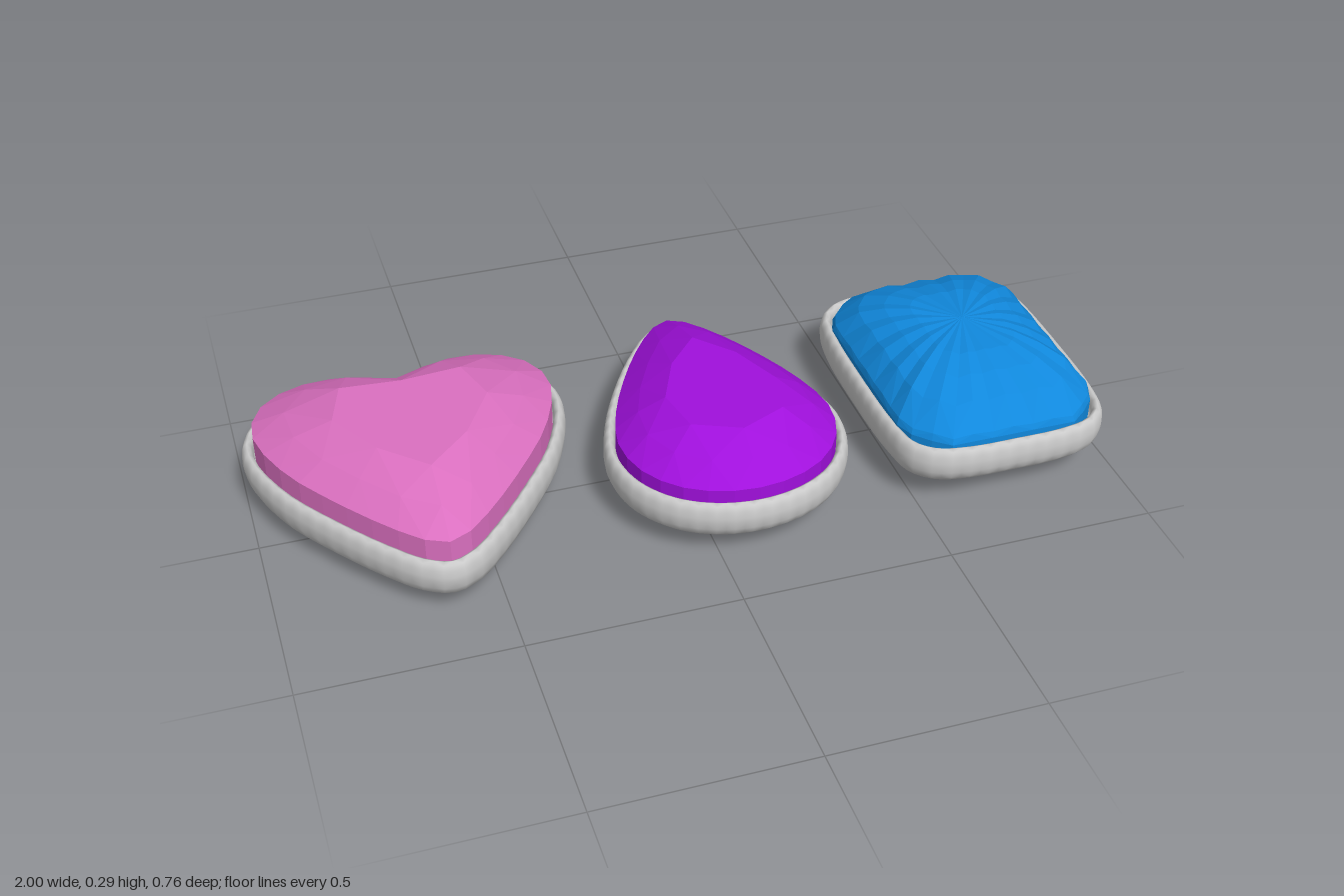
import * as THREE from 'three';

// Closed curve mirrored about x = 0 from half an outline given as [x, z], back to front
function mirroredCurve(half, straight = false) {
  const right = half.map(([x, z]) => new THREE.Vector3(x, 0, z));
  const left = right.filter((p) => p.x > 0).reverse().map((p) => new THREE.Vector3(-p.x, 0, p.z));
  if (!straight) return new THREE.CatmullRomCurve3([...right, ...left], true, 'centripetal');
  const path = new THREE.CurvePath();
  const all = [...right, ...left, right[0]];
  for (let i = 0; i < all.length - 1; i++) path.add(new THREE.LineCurve3(all[i], all[i + 1]));
  return path;
}

// Sample a curve at n points, pushed inwards by a distance
function outline(curve, n, inset = 0) {
  return Array.from({ length: n }, (_, i) => {
    const p = curve.getPointAt(i / n);
    if (inset) {
      const t = curve.getTangentAt(i / n);
      p.x -= t.z * inset;
      p.z += t.x * inset;
    }
    return p;
  });
}

// Scale an outline about (0, z0) and lift it to height y
const ring = (pts, s, y, z0 = 0) => pts.map((p) => new THREE.Vector3(p.x * s, y, z0 + (p.z - z0) * s));

// Skin a stack of rings; a ring may have the same count as the one below, half of it, or one point
function skin(rings) {
  const pos = [], index = [], start = [];
  for (const r of rings) {
    start.push(pos.length / 3);
    r.forEach((p) => pos.push(p.x, p.y, p.z));
  }
  for (let k = 0; k < rings.length - 1; k++) {
    const n = rings[k].length, m = rings[k + 1].length;
    const a = (i) => start[k] + (i % n), b = (i) => start[k + 1] + (i % m);
    if (n === 1) for (let i = 0; i < m; i++) index.push(a(0), b(i), b(i + 1));
    else if (m === 1) for (let i = 0; i < n; i++) index.push(a(i), b(0), a(i + 1));
    else if (m === n) {
      for (let i = 0; i < n; i++) {
        if (i % 2) index.push(a(i), b(i), b(i + 1), a(i), b(i + 1), a(i + 1));
        else index.push(a(i), b(i), a(i + 1), b(i), b(i + 1), a(i + 1));
      }
    } else {
      for (let i = 0; i < m; i++) {
        const j = 2 * i;
        index.push(a(j), b(i), a(j + 1), b(i), b(i + 1), a(j + 1), a(j + 1), b(i + 1), a(j + 2));
      }
    }
  }
  const g = new THREE.BufferGeometry();
  g.setAttribute('position', new THREE.Float32BufferAttribute(pos, 3));
  g.setIndex(index);
  g.computeVertexNormals();
  return g;
}

const point = (y, z = 0) => [new THREE.Vector3(0, y, z)];

// Smooth metal cup: underside [scale, y], then a rounded rim and an inner floor
function makeSetting(name, curve, under, top, z0) {
  const n = 96, base = outline(curve, n);
  const rim = [[0, -0.035], [0.002, -0.018], [0.007, -0.006], [0.015, 0], [0.023, -0.005], [0.028, -0.018], [0.03, -0.06]];
  const rings = [
    point(under[0][1], z0),
    ...under.slice(1).map(([s, y]) => ring(base, s, y, z0)),
    ...rim.map(([inset, dy]) => ring(outline(curve, n, inset), 1, top + dy)),
    point(top - 0.06, z0),
  ];
  const mesh = new THREE.Mesh(skin(rings), new THREE.MeshStandardMaterial({ color: 0xcccccc }));
  mesh.name = name;
  return mesh;
}

function makeGem(name, color, rings) {
  const mesh = new THREE.Mesh(skin(rings), new THREE.MeshStandardMaterial({ color, flatShading: true }));
  mesh.name = name;
  return mesh;
}

// Girdle, two rows of crown facets and a flat table
function tableCut(curve, bottom, girdle, mid, table, z0) {
  const edge = outline(curve, 32, 0.029);
  const half = edge.filter((_, i) => i % 2 === 0), quarter = edge.filter((_, i) => i % 4 === 0);
  return [
    ring(edge, 1, bottom), ring(edge, 1, girdle),
    ring(half, mid[0], mid[1], z0), ring(quarter, table[0], table[1], z0), point(table[1], z0),
  ];
}

// Low dome with folded facets radiating from its centre
function fanCut(curve) {
  const edge = outline(curve, 40);
  const profile = [[1, 0.11, 0], [1, 0.165, 0], [0.98, 0.182, 0.004], [0.8, 0.234, 0.008], [0.6, 0.262, 0.006], [0.4, 0.278, 0.004]];
  const rings = profile.map(([s, y, fold]) => {
    const r = ring(edge, s, y);
    r.forEach((p, i) => { if (i % 2) p.y -= fold; });
    return r;
  });
  return [...rings, point(0.286)];
}

export function createModel() {
  const model = new THREE.Group();
  const add = (name, x, z, ...parts) => {
    const g = new THREE.Group();
    g.name = name;
    g.position.set(x, 0, z);
    g.add(...parts);
    model.add(g);
  };

  // Heart
  const heart = mirroredCurve([
    [0, -0.325], [0.06, -0.352], [0.15, -0.373], [0.25, -0.36], [0.335, -0.305], [0.38, -0.215], [0.378, -0.13],
    [0.325, 0.01], [0.235, 0.145], [0.13, 0.275], [0.065, 0.338], [0, 0.365],
  ]);
  add('heartJewel', -0.615, 0,
    makeSetting('heartSetting', heart,
      [[0, 0], [0.3, 0.004], [0.6, 0.014], [0.82, 0.028], [0.91, 0.04], [0.965, 0.058], [0.99, 0.078], [1, 0.1]], 0.147, -0.06),
    makeGem('heartGem', 0xdb70c0, tableCut(heart, 0.09, 0.19, [0.79, 0.234], [0.53, 0.276], -0.02)));

  // Teardrop
  const drop = mirroredCurve([
    [0, -0.385], [0.055, -0.362], [0.125, -0.28], [0.2, -0.155], [0.26, -0.02], [0.287, 0.1],
    [0.265, 0.215], [0.2, 0.305], [0.11, 0.358], [0, 0.377],
  ]);
  add('teardropJewel', 0.088, 0,
    makeSetting('teardropSetting', drop,
      [[0, 0.018], [0.3, 0.021], [0.6, 0.03], [0.82, 0.044], [0.91, 0.055], [0.965, 0.072], [0.99, 0.09], [1, 0.11]], 0.157, 0.05),
    makeGem('teardropGem', 0xa010dc, tableCut(drop, 0.1, 0.18, [0.79, 0.225], [0.54, 0.263], 0.094)));

  // Rectangle with rounded corners
  const cushion = mirroredCurve([
    [0, -0.355], [0.12, -0.352], [0.2, -0.333], [0.25, -0.285], [0.268, -0.2], [0.274, 0],
    [0.268, 0.2], [0.25, 0.285], [0.2, 0.333], [0.12, 0.352], [0, 0.355],
  ]);
  const octagon = mirroredCurve([[0, -0.322], [0.165, -0.322], [0.247, -0.235], [0.247, 0.235], [0.165, 0.322], [0, 0.322]], true);
  add('rectangleJewel', 0.725, -0.004,
    makeSetting('rectangleSetting', cushion,
      [[0, 0.052], [0.5, 0.052], [0.8, 0.053], [0.88, 0.057], [0.94, 0.068], [0.98, 0.085], [0.995, 0.102], [1, 0.118]], 0.164, 0),
    makeGem('rectangleGem', 0x1088dc, fanCut(octagon)));

  return model;
}
